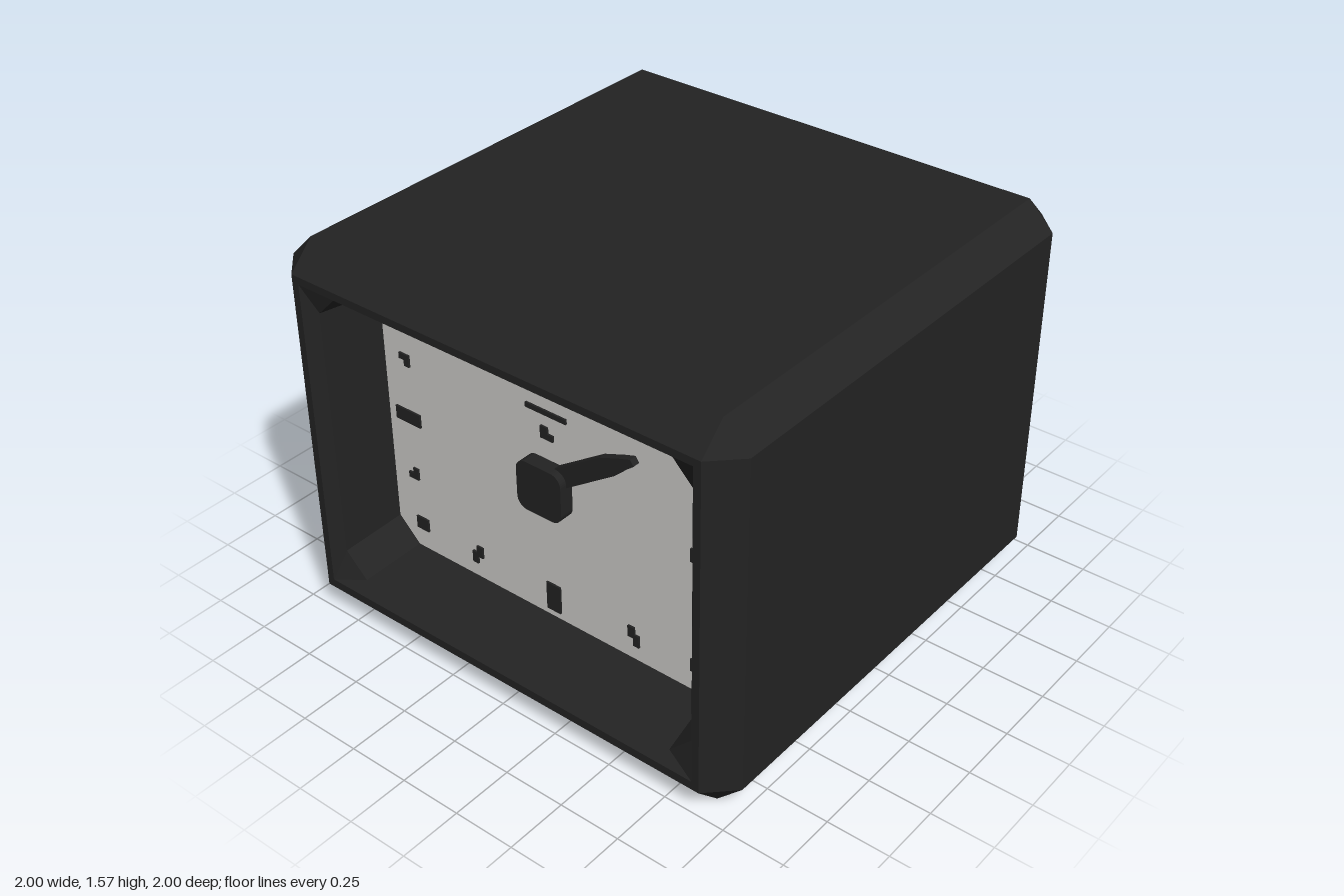
import * as THREE from 'three';

// Eight-point outline, counter-clockwise from the front, with cut corners
function outline([x0, x1, y0, y1, c]) {
  return [
    [x1, y0 + c], [x1, y1 - c], [x1 - c, y1], [x0 + c, y1],
    [x0, y1 - c], [x0, y0 + c], [x0 + c, y0], [x1 - c, y0],
  ];
}

// Flat-faced skin through a series of outlines at given depths
function loft(sections) {
  const rings = sections.map(({ z, r }) => outline(r).map(([x, y]) => new THREE.Vector3(x, y, z)));
  const points = [];
  for (let k = 0; k + 1 < rings.length; k++) {
    const a = rings[k], b = rings[k + 1];
    for (let i = 0; i < 8; i++) {
      const j = (i + 1) % 8;
      for (const t of [[a[i], a[j], b[j]], [a[i], b[j], b[i]]]) {
        const area = new THREE.Triangle(...t).getArea();
        if (area > 1e-7) points.push(...t);
      }
    }
  }
  const g = new THREE.BufferGeometry().setFromPoints(points);
  g.computeVertexNormals();
  return g;
}

const shapeOf = (pts) => new THREE.Shape(pts.map(([x, y]) => new THREE.Vector2(x, y)));

export function createModel() {
  const model = new THREE.Group();
  model.name = 'deskClock';
  const black = new THREE.MeshStandardMaterial({ color: 0x232323 });
  black.name = 'black plastic';
  const white = new THREE.MeshStandardMaterial({ color: 0xd0cecb });
  white.name = 'dial white';

  const add = (name, geometry, material, parent = model) => {
    const mesh = new THREE.Mesh(geometry, material);
    mesh.name = name;
    parent.add(mesh);
    return mesh;
  };

  const H = 1.565, C = 0.105, E = 1 - C, dialZ = 0.69;
  const dialRect = [-0.805, 0.785, 0.2, 1.38, 0.095];

  // Chamfered case: closed back, sides, front rim, then the recess walls
  add('case', loft([
    { z: -1, r: [0, 0, H / 2, H / 2, 0] },
    { z: -1, r: [-E, E, C, H - C, 0] },
    { z: -E, r: [-1, 1, 0, H, C] },
    { z: E, r: [-1, 1, 0, H, C] },
    { z: 1, r: [-E, E, C, H - C, 0] },
    { z: 1, r: [-0.865, 0.865, 0.14, 1.43, 0] },
    { z: 0.95, r: [-0.83, 0.825, 0.17, 1.4, 0.095] },
    { z: dialZ, r: dialRect },
  ]), black);

  // Dial
  const dial = add('dial', new THREE.ShapeGeometry(shapeOf(outline(dialRect))), white);
  dial.position.z = dialZ;

  // Painted marks: thin plates given by x and y ranges
  const marks = new THREE.Group();
  marks.name = 'hourMarks';
  model.add(marks);
  const plate = (x0, x1, y0, y1) => {
    const m = add('mark', new THREE.BoxGeometry(x1 - x0, y1 - y0, 0.008), black, marks);
    m.position.set((x0 + x1) / 2, (y0 + y1) / 2, dialZ + 0.004);
  };

  // Marks repeated in all four quarters, measured from the dial centre
  const cx = -0.013, cy = 0.79;
  const quarter = [
    [0.632, 0.692, 0.448, 0.502],                              // corner square
    [0.375, 0.402, 0.475, 0.526], [0.35, 0.38, 0.445, 0.493],  // stepped mark
    [0.663, 0.712, 0.25, 0.275], [0.663, 0.688, 0.225, 0.25],  // angled mark
  ];
  for (const [x0, x1, y0, y1] of quarter) {
    for (const sx of [-1, 1]) {
      for (const sy of [-1, 1]) {
        const xs = [cx + sx * x0, cx + sx * x1].sort((a, b) => a - b);
        const ys = [cy + sy * y0, cy + sy * y1].sort((a, b) => a - b);
        plate(...xs, ...ys);
      }
    }
  }
  plate(-0.765, -0.643, 0.765, 0.82); // nine
  plate(0.617, 0.74, 0.765, 0.82);    // three
  plate(-0.045, 0.02, 0.23, 0.35);    // six
  plate(-0.108, 0.077, 1.085, 1.105); // twelve bar
  plate(-0.043, -0.01, 0.985, 1.035); // small mark below twelve
  plate(-0.01, 0.015, 0.985, 1.01);

  // Pointer hand
  const hand = add('hand', new THREE.ExtrudeGeometry(shapeOf([
    [-0.01, 0.82], [0.05, 0.8], [0.09, 0.84], [0.31, 0.99], [0.37, 1.045],
    [0.395, 1.065], [0.38, 1.087], [0.335, 1.072], [0.245, 1.037], [0.02, 0.887],
  ]), { depth: 0.03, bevelEnabled: false }), black);
  hand.position.z = dialZ;

  // Rounded square hub
  const h = 0.103, r = 0.045;
  const hubShape = new THREE.Shape();
  [[1, -1], [1, 1], [-1, 1], [-1, -1]].forEach(([sx, sy], i) => {
    hubShape.absarc(sx * (h - r), sy * (h - r), r, (i - 1) * Math.PI / 2, i * Math.PI / 2);
  });
  const hub = add('hub', new THREE.ExtrudeGeometry(hubShape, {
    depth: 0.06, bevelEnabled: false, curveSegments: 4,
  }), black);
  hub.position.set(cx, 0.795, dialZ);

  return model;
}
